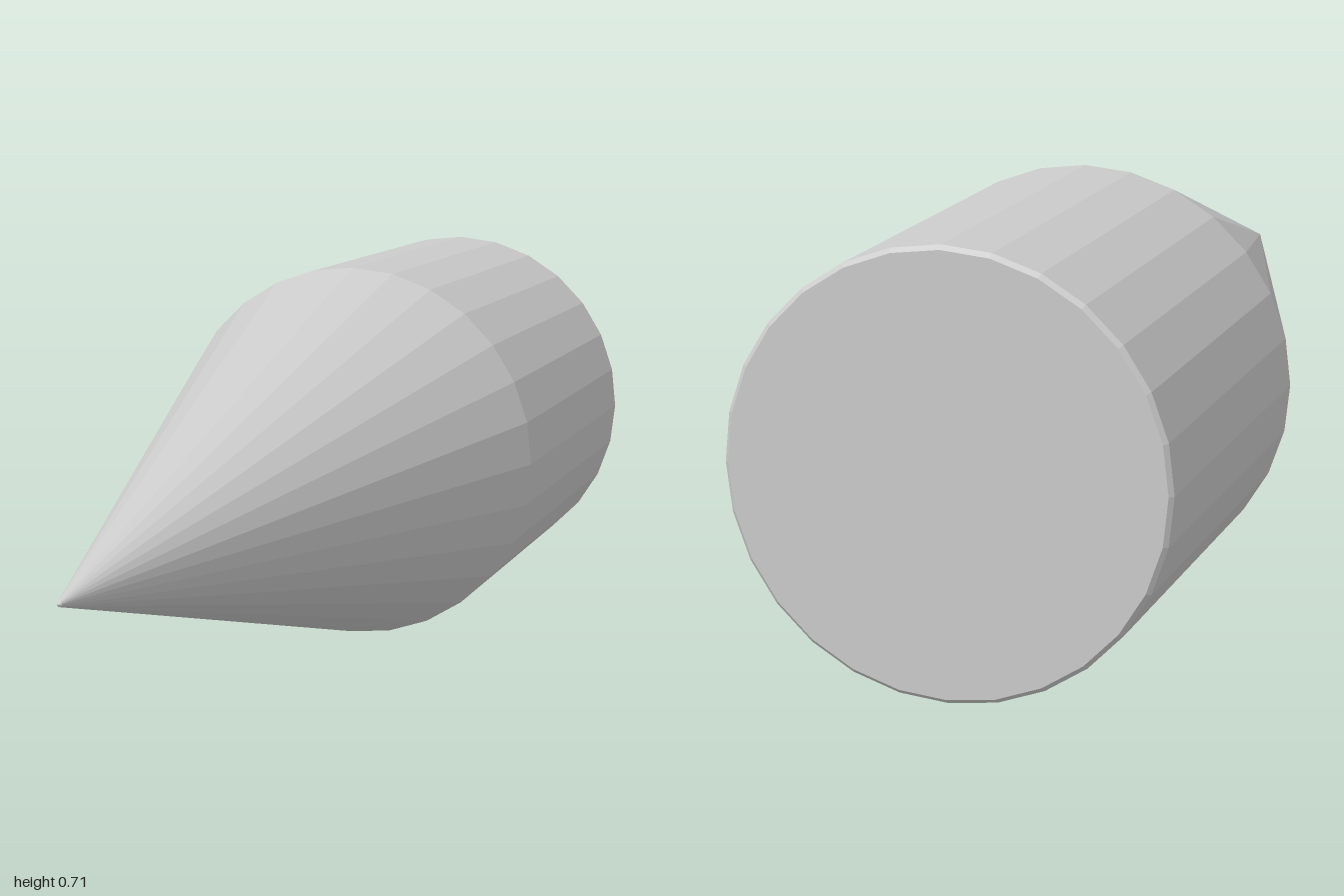
import * as THREE from 'three';

const SIDES = 28;
const AXIS_Y = 0.357;

// Faceted part turned around the z axis from [radius, z] pairs, listed back to front
function turned(name, profile) {
  const points = profile.map(([r, z]) => new THREE.Vector2(r, z));
  const geometry = new THREE.LatheGeometry(points, SIDES).rotateX(Math.PI / 2);
  const mesh = new THREE.Mesh(
    geometry,
    new THREE.MeshStandardMaterial({ color: 0xcccccc, flatShading: true })
  );
  mesh.name = name;
  mesh.position.y = AXIS_Y;
  return mesh;
}

// Moves the ring of vertices lying behind or ahead of a z limit slightly off axis
function offset(mesh, test, dx, dy) {
  const p = mesh.geometry.attributes.position;
  for (let i = 0; i < p.count; i++) {
    if (test(p.getZ(i))) p.setXY(i, p.getX(i) + dx, p.getY(i) + dy);
  }
  p.needsUpdate = true;
}

export function createModel() {
  const model = new THREE.Group();
  model.name = 'pointedBody';

  // Slightly tapered barrel with a small bevel around its closed flat end
  const barrel = turned('barrel', [[0, -1], [0.34, -1], [0.347, -0.993], [0.357, -0.3]]);
  offset(barrel, (z) => z < -0.9, 0.005, 0);

  // Long cone with a tiny blunt tip
  const nose = turned('noseCone', [[0.357, -0.3], [0.004, 0.997], [0, 1]]);
  offset(nose, (z) => z > 0.9, 0, 0.006);

  model.add(barrel, nose);
  return model;
}
